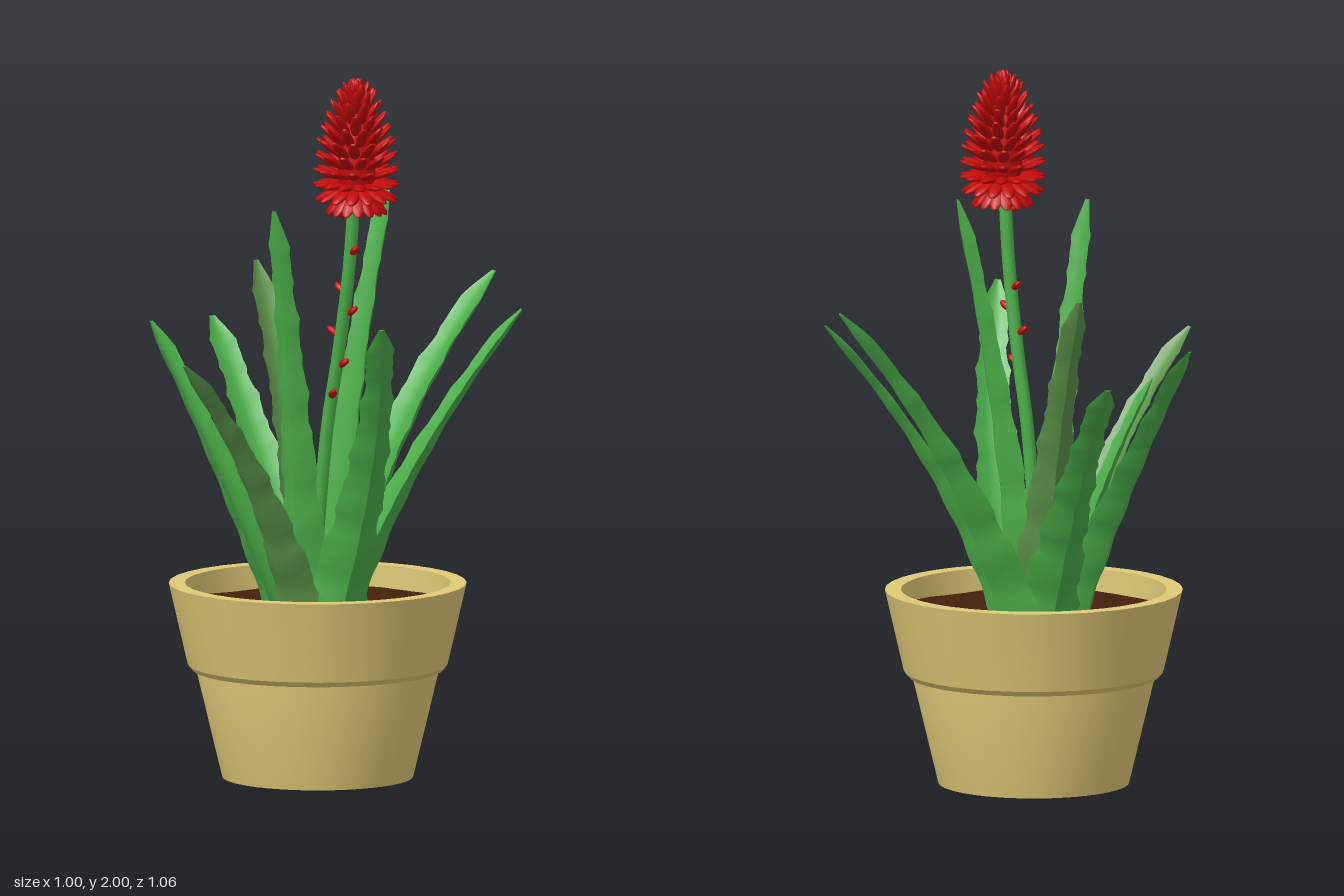
import * as THREE from 'three';
import { mergeGeometries, toCreasedNormals } from 'three/addons/utils/BufferGeometryUtils.js';

const V = (x, y, z) => new THREE.Vector3(x, y, z);
const UP = V(0, 1, 0);
const POT_Z = -0.025;

const mat = (name, color) => {
  const m = new THREE.MeshStandardMaterial({ color });
  m.name = name;
  return m;
};

function add(group, name, geometry, material) {
  const mesh = new THREE.Mesh(geometry, material);
  mesh.name = name;
  group.add(mesh);
  return mesh;
}

// Crescent leaf cross-section: keeled outside, hollow inside (u across, v inward)
const SECTION = [[-1, 0.32], [-0.55, -0.14], [0, -0.36], [0.55, -0.14],
  [1, 0.32], [0.5, 0.06], [0, -0.03], [-0.5, 0.06]];

// Toothed leaf swept along an outward arch from base to tip, broad and thick at the base
function leafGeometry(base, tip, swing, width) {
  const out = V(tip.x - base.x, 0, tip.z - base.z).normalize();
  const side = UP.clone().cross(out);
  const control = base.clone().lerp(tip, 0.33).addScaledVector(side, swing);
  control.y = base.y + (tip.y - base.y) * 0.55;
  const curve = new THREE.QuadraticBezierCurve3(base, control, tip);
  const N = 42, M = SECTION.length, pos = [], idx = [];
  for (let i = 0; i <= N; i++) {
    const t = i / N;
    const p = curve.getPoint(t);
    const tangent = curve.getTangent(t);
    const s = side.clone().addScaledVector(tangent, -side.dot(tangent)).normalize();
    const n = tangent.clone().cross(s);
    const close = Math.min(1, (1 - t) / 0.08 + 0.2);
    const taper = 0.52 + 0.93 * Math.pow(1 - t, 1.5);
    const w = width * taper * close * (1 + 0.08 * Math.sin(t * 38));
    const tooth = i % 4 === 2 ? 0.006 * close : 0;
    for (const [u, v] of SECTION) {
      const edge = Math.abs(u) === 1 ? Math.sign(u) * tooth : 0;
      const depth = v < -0.1 ? v * (1.4 - 0.6 * t) : v;
      const q = p.clone().addScaledVector(s, u * w + edge).addScaledVector(n, depth * w);
      pos.push(q.x, q.y, q.z);
    }
  }
  for (let i = 0; i < N; i++) {
    for (let j = 0; j < M; j++) {
      const a = i * M + j, b = i * M + (j + 1) % M;
      idx.push(a, b, b + M, a, b + M, a + M);
    }
  }
  // Cap the blunt tip
  for (let j = 1; j < M - 1; j++) idx.push(N * M, N * M + j, N * M + j + 1);
  const g = new THREE.BufferGeometry();
  g.setAttribute('position', new THREE.Float32BufferAttribute(pos, 3));
  g.setIndex(idx);
  return toCreasedNormals(g, 0.55);
}

// Slim pointed scale stretched between two points
function petal(from, to, width, thick) {
  const dir = to.clone().sub(from);
  const length = dir.length();
  dir.normalize();
  const across = UP.clone().cross(V(dir.x, 0, dir.z).normalize());
  const m = new THREE.Matrix4().makeBasis(
    across.clone().multiplyScalar(width),
    dir.clone().multiplyScalar(length / 2),
    across.clone().cross(dir).multiplyScalar(thick));
  m.setPosition(from.clone().lerp(to, 0.5));
  return new THREE.SphereGeometry(1, 8, 6).applyMatrix4(m);
}

export function createModel() {
  const model = new THREE.Group();
  model.name = 'pottedPlant';
  const clay = mat('paleClay', 0xdfc975);
  const earth = mat('brownSoil', 0x45200c);
  const green = mat('leafGreen', 0x4bae49);
  const olive = mat('oliveGreen', 0x5d954a);
  const red = mat('flowerRed', 0xc20808);

  // Pot with an overhanging rim
  const profile = [[0, 0], [0.268, 0], [0.34, 0.3], [0.34, 0.31], [0.352, 0.305],
    [0.365, 0.32], [0.418, 0.55], [0.373, 0.55], [0.37, 0.46]]
    .map(([x, y]) => new THREE.Vector2(x, y));
  const pot = add(model, 'pot', toCreasedNormals(new THREE.LatheGeometry(profile, 36), 0.4), clay);
  pot.position.z = POT_Z;

  // Slightly uneven soil
  const soilGeo = new THREE.RingGeometry(0.0001, 0.373, 36, 5).rotateX(-Math.PI / 2);
  const sp = soilGeo.attributes.position;
  for (let i = 0; i < sp.count; i++) {
    sp.setY(i, 0.006 * Math.sin(sp.getX(i) * 17 + 1) * Math.cos(sp.getZ(i) * 14));
  }
  soilGeo.computeVertexNormals();
  add(model, 'soil', soilGeo, earth).position.set(0, 0.485, POT_Z);

  // Leaves: base x, z; tip x, y, z; sideways swing; half width; material
  const leaves = [
    [-0.06, -0.06, -0.475, 1.22, -0.465, 0.02, 0.064, green],
    [-0.08, 0.04, -0.5, 1.265, -0.03, 0.1, 0.064, green],
    [-0.02, -0.03, -0.265, 1.42, -0.245, 0, 0.058, olive],
    [0.03, -0.07, 0.345, 1.38, -0.53, 0.03, 0.076, green],
    [0.07, -0.04, 0.495, 1.305, -0.34, -0.05, 0.064, green],
    [0.04, -0.01, 0.155, 1.67, -0.19, 0, 0.06, green],
    [0.07, 0.04, 0.34, 1.34, 0.39, 0.1, 0.064, green],
    [-0.02, 0.03, -0.05, 1.63, 0.2, 0, 0.052, green],
    [-0.05, 0.03, -0.24, 1.13, 0.23, -0.03, 0.048, green],
    [-0.03, 0.06, -0.2, 1.23, 0.525, 0.02, 0.06, olive],
  ];
  const foliage = new THREE.Group();
  foliage.name = 'leaves';
  model.add(foliage);
  leaves.forEach(([bx, bz, x, y, z, swing, width, m], i) => {
    add(foliage, `leaf${i + 1}`, leafGeometry(V(bx, 0.46, bz), V(x, y, z), swing, width), m);
  });

  // Flower stem
  const stem = new THREE.CatmullRomCurve3([V(-0.01, 0.46, 0), V(0.045, 1.0, 0.02),
    V(0.08, 1.2, 0.03), V(0.12, 1.45, 0.05), V(0.145, 1.72, 0.065)]);
  add(model, 'stem', new THREE.TubeGeometry(stem, 24, 0.019, 8), green);

  // Small buds scattered up the stem: position along it, angle around it
  const buds = [[0.49, 0.5], [0.56, 1.2], [0.63, 4.4], [0.68, 1.4], [0.73, 4.2], [0.82, 0.8], [0.9, 5.2]]
    .map(([t, a]) => {
      const p = stem.getPointAt(t);
      const d = V(Math.sin(a), 0.7, Math.cos(a));
      return petal(p.clone().addScaledVector(d, 0.01), p.clone().addScaledVector(d, 0.045), 0.012, 0.01);
    });
  add(model, 'stemBuds', mergeGeometries(buds), red);

  // Flower head: rings of scales, drooping below and upright at the top
  const head = new THREE.Group();
  head.name = 'flowerHead';
  head.position.set(0.148, 0, 0.066);
  model.add(head);
  // Tip radius, tip height and base height of each ring
  const rings = [[0.088, 1.615, 1.675], [0.118, 1.655, 1.69], [0.124, 1.7, 1.7], [0.122, 1.745, 1.72],
    [0.118, 1.79, 1.745], [0.112, 1.83, 1.775], [0.101, 1.87, 1.805], [0.088, 1.905, 1.835],
    [0.073, 1.94, 1.865], [0.056, 1.97, 1.89], [0.037, 1.99, 1.91], [0.015, 2.0, 1.93]];
  const scales = [];
  rings.forEach(([r, tipY, baseY], k) => {
    const count = Math.max(5, Math.round(15 - k * 0.7));
    for (let i = 0; i < count; i++) {
      const a = ((i + (k % 2) / 2) / count) * Math.PI * 2;
      const at = (rad, h) => V(Math.sin(a) * rad, h, Math.cos(a) * rad);
      scales.push(petal(at(r * 0.35, baseY), at(r, tipY), 0.02 - 0.0006 * k, 0.009));
    }
  });
  add(head, 'petals', mergeGeometries(scales), red);
  const core = [[0, 1.65], [0.035, 1.66], [0.055, 1.72], [0.05, 1.82], [0.03, 1.92], [0, 1.98]]
    .map(([x, y]) => new THREE.Vector2(x, y));
  add(head, 'flowerCore', new THREE.LatheGeometry(core, 12), red);

  return model;
}
